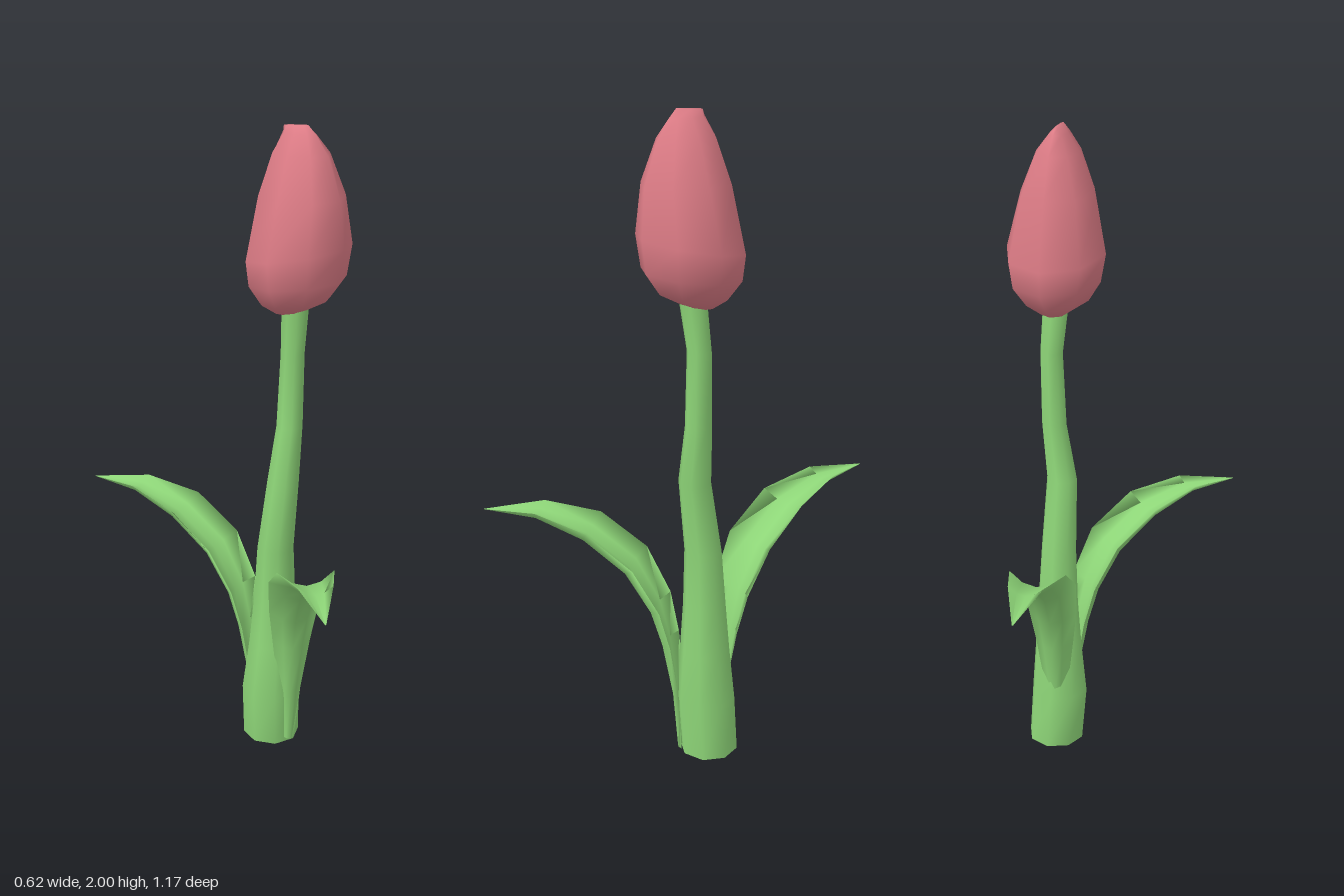
import * as THREE from 'three';

const green = new THREE.MeshStandardMaterial({ color: 0x8ed678, side: THREE.DoubleSide });
const pink = new THREE.MeshStandardMaterial({ color: 0xdd7c86, side: THREE.DoubleSide });

// Skin a list of closed cross-sections (each a loop of Vector3) with smooth normals.
function loft(name, rings, material, capEnd = false) {
  const n = rings[0].length;
  const index = [];
  for (let i = 0; i < rings.length - 1; i++) {
    for (let j = 0; j < n; j++) {
      const k = (j + 1) % n;
      const a = i * n + j, b = i * n + k, c = a + n, d = b + n;
      index.push(a, c, b, b, c, d);
    }
  }
  const last = (rings.length - 1) * n;
  if (capEnd) for (let j = 1; j < n - 1; j++) index.push(last, last + j + 1, last + j);
  const geometry = new THREE.BufferGeometry().setFromPoints(rings.flat());
  geometry.setIndex(index);
  geometry.computeVertexNormals();
  const mesh = new THREE.Mesh(geometry, material);
  mesh.name = name;
  return mesh;
}

// Eight-sided horizontal ring; tilt raises its front side.
function ring(y, cx, cz, rx, rz = rx, tilt = 0) {
  return Array.from({ length: 8 }, (_, j) => {
    const a = (j / 8) * Math.PI * 2;
    const dz = Math.sin(a) * rz;
    return new THREE.Vector3(cx + Math.cos(a) * rx, y + dz * tilt, cz + dz);
  });
}

// Arching channelled leaf growing from a base point towards a heading.
function leaf(name, x, z, toX, toZ) {
  // outward distance, height, half width, channel depth
  const stations = [
    [0, 0.015, 0.018, 0.015], [0.015, 0.2, 0.036, 0.028], [0.05, 0.38, 0.06, 0.042],
    [0.085, 0.49, 0.076, 0.052], [0.16, 0.61, 0.09, 0.062], [0.285, 0.705, 0.085, 0.06],
    [0.43, 0.76, 0.052, 0.035], [0.6, 0.77, 0.002, 0.001],
  ];
  const h = new THREE.Vector3(toX - x, 0, toZ - z);
  const scale = h.length() / 0.6;
  h.normalize();
  const up = new THREE.Vector3(0, 1, 0);
  const side = h.clone().cross(up);
  // underside left to right, then the shallower upper face back again
  const section = [-1, -0.5, 0, 0.5, 1].map(u => [u, u * u]);
  section.push(...[0.5, 0, -0.5].map(u => [u, 0.3 + 0.7 * u * u]));

  const rings = stations.map(([d, y, w, depth], i) => {
    const p = stations[Math.max(i - 1, 0)];
    const q = stations[Math.min(i + 1, stations.length - 1)];
    const t = new THREE.Vector2(q[0] - p[0], q[1] - p[1]).normalize();
    return section.map(([u, v]) => new THREE.Vector3(x, y, z)
      .addScaledVector(h, d * scale - t.y * v * depth)
      .addScaledVector(up, t.x * v * depth)
      .addScaledVector(side, u * w));
  });
  return loft(name, rings, green, true);
}

export function createModel() {
  const group = new THREE.Group();
  group.name = 'flower';

  // Stem: open at the base, tapering and swaying upwards
  group.add(loft('stem', [
    ring(0, 0.145, 0.07, 0.09),
    ring(0.18, 0.133, 0.075, 0.092),
    ring(0.35, 0.137, 0.08, 0.077),
    ring(0.5, 0.138, 0.082, 0.066),
    ring(0.68, 0.135, 0.085, 0.057),
    ring(0.91, 0.132, 0.112, 0.049),
    ring(1.09, 0.157, 0.115, 0.04),
    ring(1.32, 0.164, 0.117, 0.036),
    ring(1.48, 0.153, 0.132, 0.041),
  ], green));

  // Closed bud, ending in a short ridge
  group.add(loft('bud', [
    ring(1.445, 0.153, 0.115, 0.01, 0.01, 0.2),
    ring(1.45, 0.153, 0.118, 0.045, 0.045, 0.2),
    ring(1.485, 0.152, 0.135, 0.1, 0.103, 0.15),
    ring(1.545, 0.155, 0.137, 0.14, 0.146, 0.13),
    ring(1.63, 0.155, 0.14, 0.155, 0.155, 0.2),
    ring(1.8, 0.15, 0.15, 0.116, 0.132),
    ring(1.92, 0.147, 0.147, 0.068, 0.092),
    ring(1.975, 0.143, 0.143, 0.028, 0.057),
    ring(1.996, 0.14, 0.132, 0.008, 0.042, 0.1),
  ], pink, true));

  group.add(leaf('frontLeaf', 0.115, 0.165, -0.31, 0.585));
  group.add(leaf('backLeaf', 0.125, 0.01, 0.04, -0.587));
  return group;
}
